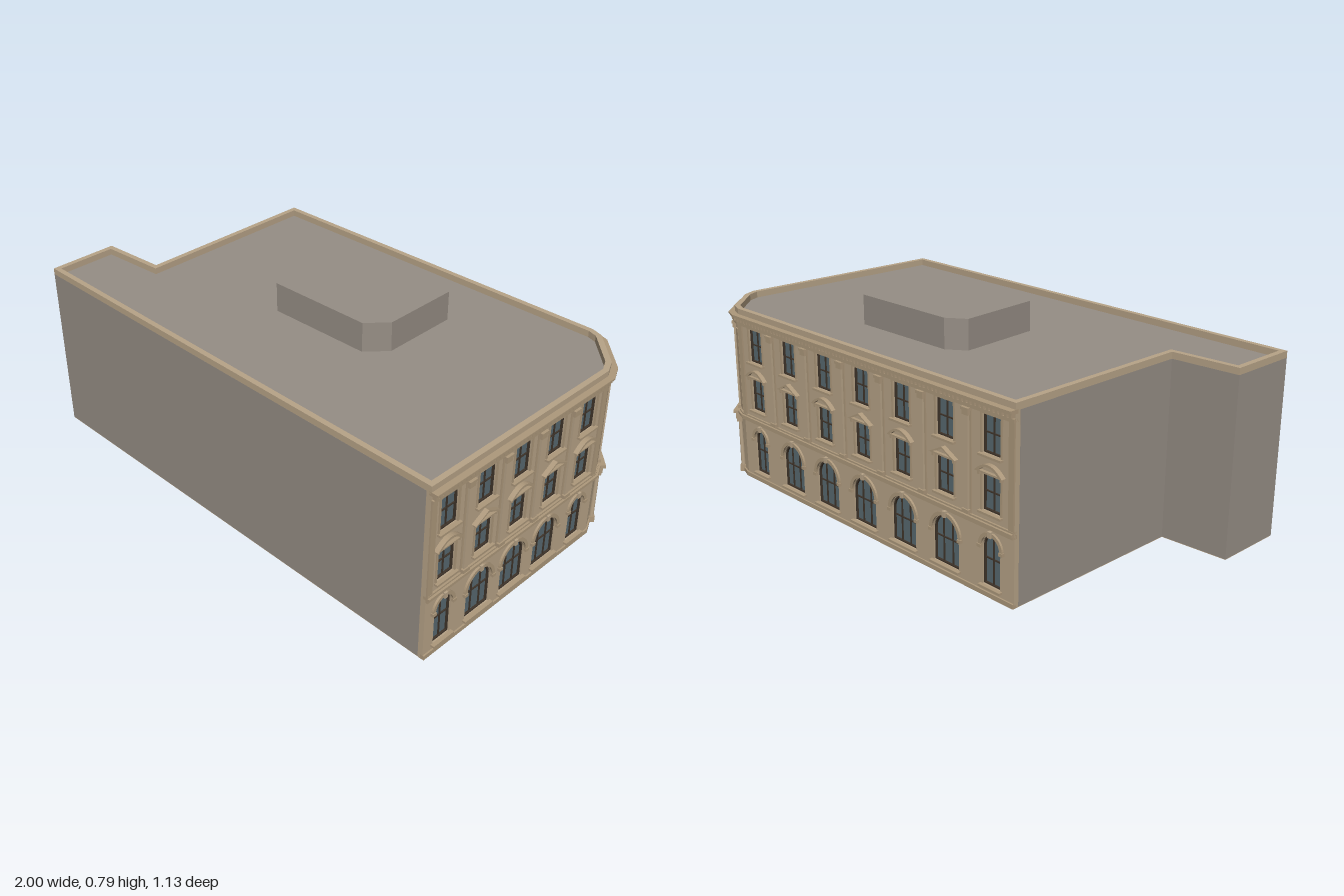
import * as THREE from 'three';
import { mergeGeometries } from 'three/addons/utils/BufferGeometryUtils.js';

const mat = (name, color) => Object.assign(new THREE.MeshStandardMaterial({ color }), { name });
const M = {
  stone: mat('tan stone', 0xb8a488),
  trim: mat('tan trim', 0xae997c),
  grey: mat('grey render', 0x968e85),
  glass: mat('window glass', 0x586970),
  frame: mat('dark frame', 0x3f342a),
  door: mat('brown door', 0x5e4b3c),
};

// Street frontage in plan (x, z): right side, clipped corner, back
const street = [[0.955, 0.56], [0.975, -0.345], [0.95, -0.4], [0.825, -0.53], [0.78, -0.545], [-0.735, -0.545]];
const yard = [[-0.735, 0.215], [-1, 0.23], [-1, 0.51]];
const ROOF = 0.675;

function add(parent, name, geo, material, x = 0, y = 0, z = 0) {
  const m = new THREE.Mesh(geo, material);
  m.name = name;
  m.position.set(x, y, z);
  parent.add(m);
  return m;
}
const box = (parent, name, material, w, h, d, x, y, z) =>
  add(parent, name, new THREE.BoxGeometry(w, h, d), material, x, y, z);
const extrude = (shape, depth) => new THREE.ExtrudeGeometry(shape, { depth, bevelEnabled: false, curveSegments: 12 });

// Moves a plan outline outward by d with mitred corners
function offset(pts, d, closed) {
  const n = pts.length;
  const normal = (a, b) => {
    const dx = b[0] - a[0], dz = b[1] - a[1], l = Math.hypot(dx, dz);
    return [-dz / l, dx / l];
  };
  return pts.map((p, i) => {
    let a = closed || i > 0 ? normal(pts[(i + n - 1) % n], p) : null;
    let b = closed || i < n - 1 ? normal(p, pts[(i + 1) % n]) : null;
    a = a || b;
    b = b || a;
    const k = d / (1 + a[0] * b[0] + a[1] * b[1]);
    return [p[0] + (a[0] + b[0]) * k, p[1] + (a[1] + b[1]) * k];
  });
}
const plan = (pts) => pts.map(([x, z]) => new THREE.Vector2(x, -z));
function slab(parent, name, material, outline, y0, y1, hole) {
  const s = new THREE.Shape(plan(outline));
  if (hole) s.holes.push(new THREE.Path(plan(hole)));
  return add(parent, name, extrude(s, y1 - y0).rotateX(-Math.PI / 2), material, 0, y0);
}

// Rectangular or round-headed outline centred on u
function opening(o, inset = 0, Type = THREE.Shape) {
  const r = o.w / 2 - inset, y0 = o.y0 + inset, s = new Type();
  s.moveTo(o.u - r, y0);
  s.lineTo(o.u + r, y0);
  if (o.arch) {
    s.lineTo(o.u + r, o.y1 - o.w / 2);
    s.absarc(o.u, o.y1 - o.w / 2, r, 0, Math.PI, false);
  } else {
    s.lineTo(o.u + r, o.y1 - inset);
    s.lineTo(o.u - r, o.y1 - inset);
  }
  s.lineTo(o.u - r, y0);
  return s;
}
function ring(o, outer, inner) {
  const s = opening(o, outer);
  s.holes.push(opening(o, inner, THREE.Path));
  return s;
}

function windowUnit(g, o) {
  add(g, 'windowGlass', new THREE.ShapeGeometry(opening(o)), M.glass, 0, 0, -0.014);
  add(g, 'windowFrame', extrude(ring(o, 0, 0.005), 0.008), M.frame, 0, 0, -0.014);
  const wide = o.w > 0.1, h = o.y1 - o.y0;
  for (const k of wide ? [-0.18, 0.18] : [0]) {
    const top = o.arch && wide ? h - 0.008 : h - 0.003;
    box(g, 'mullion', M.frame, 0.004, top, 0.005, o.u + k * o.w, o.y0 + top / 2, -0.0115);
  }
  box(g, 'transom', M.frame, o.w - 0.004, 0.004, 0.005, o.u, o.y0 + h * 0.52, -0.0115);
  box(g, 'sill', M.trim, o.w + 0.02, 0.008, 0.018, o.u, o.y0 - 0.004, 0.006);
}

// Moulded arch with keystone and end blocks
function archTrim(g, o) {
  const r = o.w / 2, cy = o.y1 - r, s = new THREE.Shape();
  s.absarc(0, 0, r + 0.015, 0, Math.PI, false);
  s.absarc(0, 0, r + 0.002, Math.PI, 0, true);
  add(g, 'archMoulding', extrude(s, 0.008), M.trim, o.u, cy);
  box(g, 'keystone', M.stone, 0.014, 0.022, 0.014, o.u, o.y1 + 0.009, 0.006);
  for (const k of [-1, 1]) box(g, 'archStop', M.trim, 0.017, 0.012, 0.012, o.u + k * (r + 0.0095), cy - 0.004, 0.005);
}

// Hood over a first-floor window, curved or pointed
function pediment(g, u, y, curved) {
  const outline = (w, h, y0, Type) => {
    const s = new Type();
    s.moveTo(-w, y0);
    s.lineTo(w, y0);
    if (curved) s.quadraticCurveTo(0, y0 + h * 2, -w, y0);
    else { s.lineTo(0, y0 + h); s.lineTo(-w, y0); }
    return s;
  };
  const s = outline(0.062, 0.032, 0, THREE.Shape);
  s.holes.push(outline(0.042, 0.019, 0.005, THREE.Path));
  add(g, 'pedimentMoulding', extrude(s, 0.018), M.trim, u, y);
  add(g, 'pedimentPanel', extrude(outline(0.055, 0.026, 0.001, THREE.Shape), 0.006), M.stone, u, y);
  for (const k of [-1, 1]) box(g, 'pedimentBracket', M.trim, 0.008, 0.014, 0.012, u + k * 0.05, y - 0.007, 0.006);
}

function pilaster(g, u, w = 0.02) {
  box(g, 'pilasterBacking', M.trim, w * 1.7, 0.365, 0.004, u, 0.4545, 0.002);
  box(g, 'pilasterShaft', M.stone, w, 0.33, 0.012, u, 0.452, 0.006);
  box(g, 'pilasterBase', M.trim, w * 1.6, 0.014, 0.016, u, 0.279, 0.008);
  box(g, 'pilasterCapital', M.trim, w * 1.4, 0.016, 0.015, u, 0.618, 0.0075);
  box(g, 'pilasterAbacus', M.trim, w * 1.75, 0.01, 0.018, u, 0.631, 0.009);
}

function surround(g, o) {
  add(g, 'windowSurround', extrude(ring(o, -0.007, 0), 0.004), M.trim);
}

// Wall from p0 to p1, left to right seen from the street; local z points outward
function wall(parent, name, p0, p1, fill) {
  const dx = p1[0] - p0[0], dz = p1[1] - p0[1], L = Math.hypot(dx, dz);
  const g = new THREE.Group();
  g.name = name;
  g.position.set(p0[0], 0, p0[1]);
  g.rotation.y = Math.atan2(-dz, dx);
  parent.add(g);
  const face = new THREE.Shape([[0, 0], [L, 0], [L, ROOF], [0, ROOF]].map((p) => new THREE.Vector2(...p)));
  for (const o of fill(g, L)) face.holes.push(opening(o, 0, THREE.Path));
  add(g, 'wallFace', extrude(face, 0.02), M.stone, 0, 0, -0.02);
  const count = Math.floor(L / 0.02), teeth = [];
  for (let i = 0; i < count; i++)
    teeth.push(new THREE.BoxGeometry(0.011, 0.012, 0.016).translate(((i + 0.5) * L) / count, 0.657, 0.008));
  add(g, 'dentils', mergeGeometries(teeth), M.trim);
}

// Regular street front: narrow end arches, wide arches between, two window rows above
function bays(first, step, n) {
  return (g, L) => {
    const holes = [];
    for (let i = 0; i < n; i++) {
      const u = first + i * step, end = i === 0 || i === n - 1;
      const arch = { u, w: end ? 0.08 : 0.124, y0: 0.04, y1: 0.22, arch: true };
      const mid = { u, w: 0.084, y0: 0.303, y1: 0.43 };
      const top = { u, w: 0.084, y0: 0.5, y1: 0.632 };
      for (const o of [arch, mid, top]) windowUnit(g, o);
      archTrim(g, arch);
      surround(g, mid);
      surround(g, top);
      pediment(g, u, 0.44, i % 2 === 0);
      if (i < n - 1) pilaster(g, u + step / 2);
      holes.push(arch, mid, top);
    }
    for (const u of [0.012, L - 0.012]) box(g, 'endStrip', M.trim, 0.024, 0.365, 0.006, u, 0.4545, 0.003);
    return holes;
  };
}

// Clipped corner with the entrance
function entrance(g, L) {
  const u = L / 2;
  const door = { u, w: 0.088, y0: 0.004, y1: 0.206, arch: true };
  const mid = { u, w: 0.084, y0: 0.31, y1: 0.44 };
  const top = { u, w: 0.084, y0: 0.5, y1: 0.632 };
  add(g, 'fanlight', new THREE.ShapeGeometry(opening(door)), M.glass, 0, 0, -0.016);
  add(g, 'doorFrame', extrude(ring(door, 0, 0.005), 0.008), M.frame, 0, 0, -0.015);
  box(g, 'doorHead', M.frame, 0.086, 0.006, 0.008, u, 0.139, -0.011);
  for (const k of [-1, 1]) {
    box(g, 'doorLeaf', M.door, 0.04, 0.132, 0.004, u + k * 0.0205, 0.07, -0.013);
    for (const j of [0.011, 0.03]) box(g, 'doorPanel', M.frame, 0.005, 0.12, 0.003, u + k * j, 0.07, -0.0105);
    for (const c of [0.057, 0.079]) {
      add(g, 'entranceColumn', new THREE.CylinderGeometry(0.008, 0.0095, 0.19, 14), M.stone, u + k * c, 0.122, 0.011);
      box(g, 'columnBase', M.trim, 0.021, 0.027, 0.023, u + k * c, 0.0135, 0.0115);
      box(g, 'columnCapital', M.trim, 0.021, 0.013, 0.023, u + k * c, 0.222, 0.0115);
    }
    pilaster(g, u + k * 0.071, 0.019);
  }
  box(g, 'entranceEntablature', M.trim, L, 0.026, 0.026, u, 0.241, 0.013);
  box(g, 'entranceCornice', M.trim, L + 0.012, 0.012, 0.034, u, 0.26, 0.017);
  box(g, 'balconyPanel', M.trim, 0.1, 0.03, 0.012, u, 0.286, 0.006);
  archTrim(g, door);
  for (const o of [mid, top]) { windowUnit(g, o); surround(g, o); }
  pediment(g, u, 0.452, true);
  return [door, mid, top];
}

// Narrow plain strip beside the entrance
function plain(g, L) {
  box(g, 'upperPanel', M.trim, L * 0.6, 0.33, 0.004, L / 2, 0.45, 0.002);
  return [];
}

export function createModel() {
  const root = new THREE.Group();
  root.name = 'cornerBuilding';
  const footprint = [...street, ...yard];

  // Plain body, underside and roof
  slab(root, 'body', M.grey, [...offset(street, -0.021), ...yard], 0.002, ROOF);
  add(root, 'underside', new THREE.ShapeGeometry(new THREE.Shape(plan(footprint))).rotateX(-Math.PI / 2), M.trim, 0, 0.0005)
    .material = Object.assign(M.trim.clone(), { name: 'underside tan', side: THREE.DoubleSide });
  slab(root, 'parapet', M.stone, footprint, ROOF, 0.7, offset(footprint, -0.021, true));
  slab(root, 'roofHousing', M.grey,
    [[-0.16, 0.11], [0.265, 0.11], [0.335, 0.035], [0.335, -0.275], [-0.115, -0.275], [-0.185, -0.225]], ROOF, 0.79);

  // Street walls
  const fills = [bays(0.088, 0.1805, 5), plain, entrance, plain, bays(0.11, 0.217, 7)];
  const names = ['rightFront', 'rightReturn', 'cornerEntrance', 'backReturn', 'backFront'];
  fills.forEach((f, i) => wall(root, names[i], street[i], street[i + 1], f));

  // Mouldings that run round the street fronts: bottom, top, projection
  const bands = [
    ['plinth', 0.001, 0.018, 0.006], ['floorBand', 0.246, 0.256, 0.009], ['floorCornice', 0.256, 0.266, 0.015],
    ['upperPlinth', 0.266, 0.272, 0.007], ['architrave', 0.637, 0.649, 0.009],
    ['cornice', 0.664, 0.671, 0.019], ['corniceTop', 0.671, 0.678, 0.024],
  ];
  for (const [name, y0, y1, out] of bands)
    slab(root, name, M.trim, [...offset(street, out), ...offset(street, -0.01).reverse()], y0, y1);
  return root;
}
